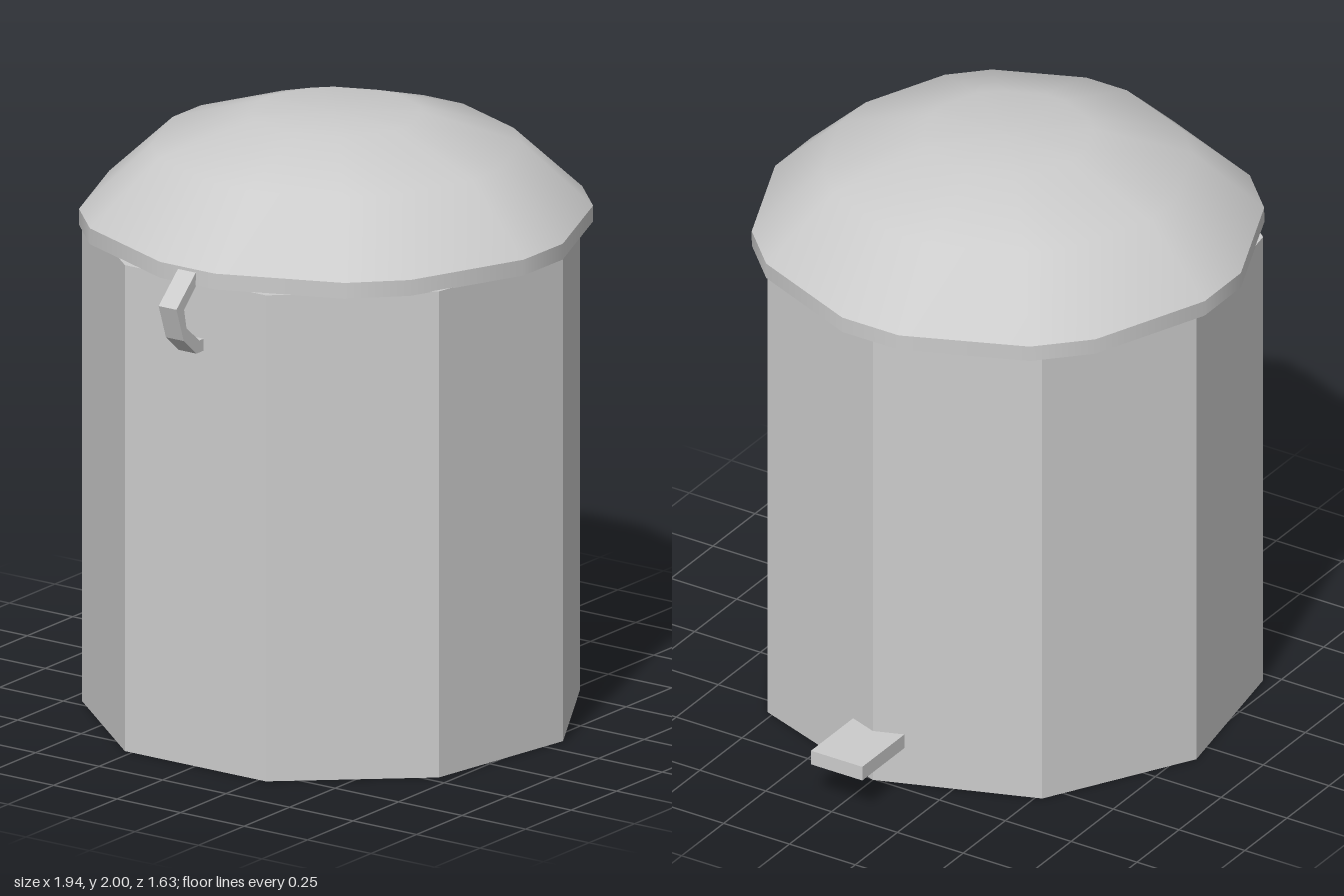
import * as THREE from 'three';

const material = () => new THREE.MeshStandardMaterial({ color: 0xcccccc });

function part(name, geometry, flat = true) {
  const mat = material();
  mat.flatShading = flat;
  const mesh = new THREE.Mesh(geometry, mat);
  mesh.name = name;
  return mesh;
}

// 16-sided turned surface whose sides alternate between 15 and 30 degrees wide
function turned(profile) {
  const points = profile.map(([r, y]) => new THREE.Vector2(r, y));
  const geo = new THREE.LatheGeometry(points, 16, Math.PI / 16);
  const pos = geo.attributes.position;
  const up = new THREE.Vector3(0, 1, 0);
  const v = new THREE.Vector3();
  for (let i = 0; i < pos.count; i++) {
    const column = Math.floor(i / profile.length);
    const shift = THREE.MathUtils.degToRad(column % 2 ? 3.75 : -3.75);
    v.fromBufferAttribute(pos, i).applyAxisAngle(up, shift);
    pos.setXYZ(i, v.x, v.y, v.z);
  }
  return geo;
}

export function createModel() {
  const model = new THREE.Group();
  model.name = 'pedalBin';

  // Nine-sided body with one corner towards the pedal
  const body = part('body', new THREE.CylinderGeometry(0.812, 0.812, 1.63, 9, 1, false, Math.PI / 2));
  body.position.set(-0.057, 0.815, 0);
  model.add(body);

  // Domed lid, tilted very slightly
  const lid = new THREE.Group();
  lid.name = 'lid';
  lid.position.set(-0.048, 1.625, 0);
  lid.rotation.z = -0.006;
  const R = 0.823;
  lid.add(
    part('lidUnderside', turned([[0, 0], [R, 0]]), false),
    part('lidRim', turned([[R, 0], [R, 0.053]]), false),
    part('lidDome', turned([[R, 0.053], [0.593, 0.268], [0.275, 0.372], [0, 0.374]]), false),
  );
  model.add(lid);

  // Hooked handle on the side opposite the pedal
  const hook = new THREE.Shape([
    [-0.8, 1.69], [-0.85, 1.685], [-0.97, 1.575], [-0.93, 1.46], [-0.86, 1.4], [-0.8, 1.4],
    [-0.8, 1.44], [-0.845, 1.44], [-0.915, 1.5], [-0.928, 1.565], [-0.86, 1.63], [-0.8, 1.63],
  ].map(([x, y]) => new THREE.Vector2(x, y)));
  const handle = part('handle', new THREE.ExtrudeGeometry(hook, { depth: 0.07, bevelEnabled: false }));
  handle.position.z = -0.037;
  model.add(handle);

  // Foot pedal
  const pedal = part('pedal', new THREE.BoxGeometry(0.25, 0.05, 0.195));
  pedal.position.set(0.845, 0.155, 0);
  model.add(pedal);

  return model;
}
